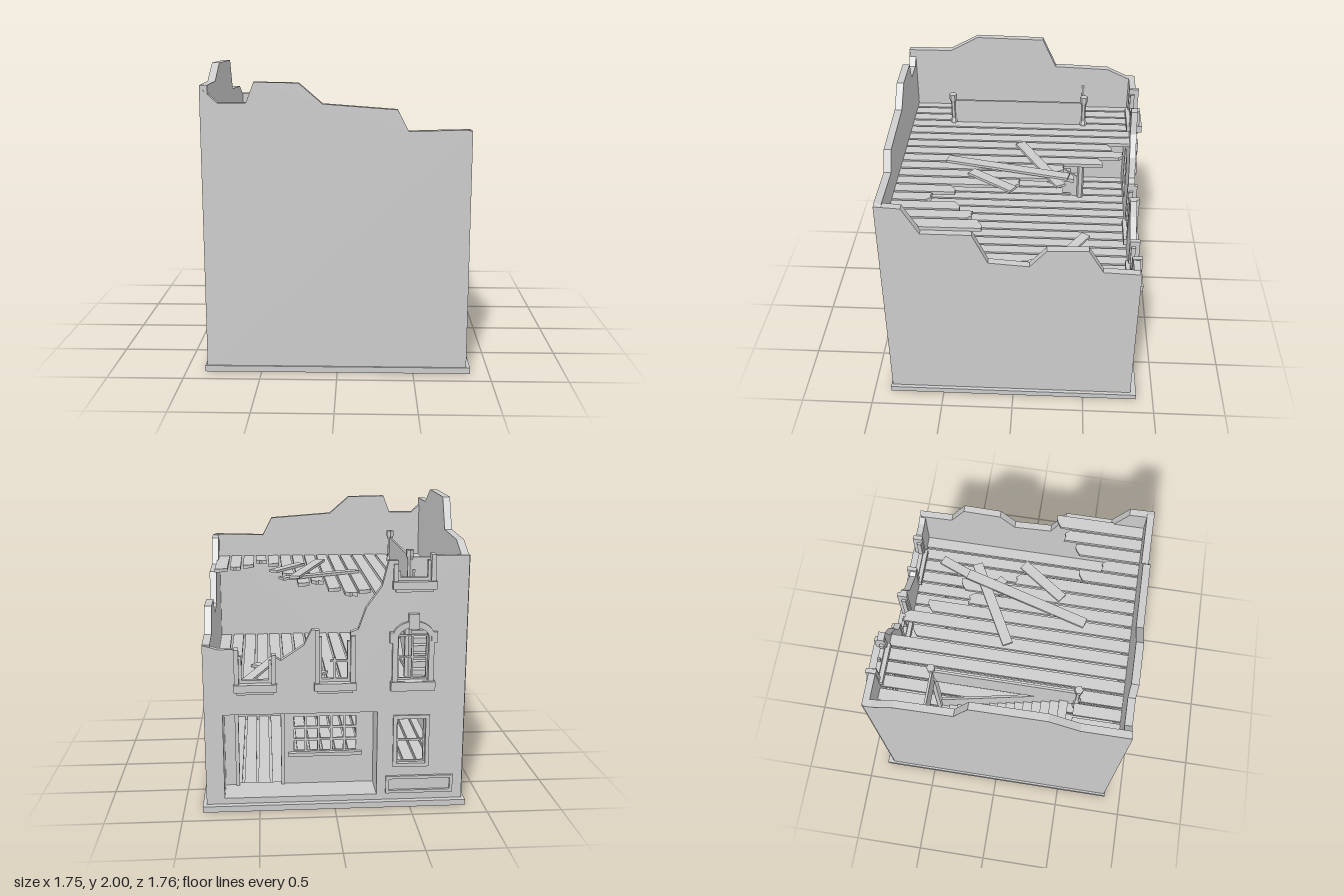
import * as THREE from 'three';

const mat = new THREE.MeshStandardMaterial({ color: 0xcccccc, flatShading: true, side: THREE.DoubleSide });

function add(parent, name, geometry) {
  const mesh = new THREE.Mesh(geometry, mat);
  mesh.name = name;
  parent.add(mesh);
  return mesh;
}

// Box given by its minimum and maximum along each axis
function box(parent, name, x0, x1, y0, y1, z0, z1) {
  const mesh = add(parent, name, new THREE.BoxGeometry(x1 - x0, y1 - y0, z1 - z0));
  mesh.position.set((x0 + x1) / 2, (y0 + y1) / 2, (z0 + z1) / 2);
  return mesh;
}

const outline = (pts, Type = THREE.Shape) => new Type(pts.map(p => new THREE.Vector2(...p)));
const rect = (x0, x1, y0, y1) => outline([[x0, y0], [x1, y0], [x1, y1], [x0, y1]], THREE.Path);

function slab(parent, name, shape, depth, z) {
  const mesh = add(parent, name, new THREE.ExtrudeGeometry(shape, { depth, bevelEnabled: false, curveSegments: 8 }));
  mesh.position.z = z;
  return mesh;
}

// Slab drawn in (z, y) and extruded towards -x from x
function sideSlab(parent, name, pts, depth, x) {
  const mesh = slab(parent, name, outline(pts), depth, 0);
  mesh.rotation.y = -Math.PI / 2;
  mesh.position.x = x;
  return mesh;
}

function arch(Type, cx, half, y0, spring, rise) {
  const s = new Type();
  s.moveTo(cx - half, y0);
  s.lineTo(cx + half, y0);
  s.lineTo(cx + half, spring);
  s.absellipse(cx, spring, half, rise, 0, Math.PI, false);
  s.closePath();
  return s;
}

// Grid of glazing bars inside a rectangular frame
function glazing(parent, name, x0, x1, y0, y1, z, cols, rows, t = 0.012) {
  const g = new THREE.Group();
  g.name = name;
  parent.add(g);
  for (let i = 0; i <= cols; i++) {
    const x = x0 + (x1 - x0) * i / cols;
    box(g, 'glazingBar', x - t / 2, x + t / 2, y0, y1, z, z + 0.018);
  }
  for (let j = 0; j <= rows; j++) {
    const y = y0 + (y1 - y0) * j / rows;
    box(g, 'glazingBar', x0, x1, y - t / 2, y + t / 2, z, z + 0.016);
  }
}

// Sill with two broken jambs of different heights
function brokenWindow(parent, x0, x1, y, topLow, topHigh) {
  box(parent, 'windowSill', x0 - 0.035, x1 + 0.035, y - 0.05, y, -0.88, -0.77);
  box(parent, 'sillApron', x0 - 0.015, x1 + 0.015, y - 0.07, y - 0.05, -0.86, -0.82);
  box(parent, 'windowJamb', x0 - 0.03, x0, y, topLow, -0.86, -0.79);
  box(parent, 'windowJamb', x1, x1 + 0.03, y, topHigh, -0.86, -0.79);
  box(parent, 'innerFrame', x0, x0 + 0.018, y, topLow - 0.04, -0.83, -0.80);
  box(parent, 'innerFrame', x1 - 0.018, x1, y, topHigh - 0.05, -0.83, -0.80);
  box(parent, 'innerFrame', x0, x1, y, y + 0.02, -0.83, -0.80);
}

// Plank edges follow a regular pitch across the room
const PITCH = 0.097, GAP = 0.016;
const plankEdges = i => [
  i === 0 ? -0.81 : -0.745 + PITCH * (i - 1) + GAP / 2,
  i === 16 ? 0.81 : -0.745 + PITCH * i - GAP / 2];

// Floor plank with a splintered back end when it is broken
function plank(parent, i, y, zBack, zFront, broken) {
  const [a, b] = plankEdges(i), w = b - a, n = broken ? 0.035 : 0;
  const pts = [[a, -zFront], [b, -zFront], [b, -zBack - n * (i % 2)], [a + w * 0.65, -zBack],
    [a + w * 0.4, -zBack - n * 0.3], [a, -zBack - n * ((i + 1) % 2)]];
  const geo = new THREE.ExtrudeGeometry(outline(pts), { depth: 0.025, bevelEnabled: false });
  geo.rotateX(-Math.PI / 2);
  add(parent, 'floorPlank', geo).position.y = y;
}

function loosePlank(parent, x0, z0, x1, z1, y0, y1) {
  const from = new THREE.Vector3(x0, y0, z0), to = new THREE.Vector3(x1, y1, z1);
  const mesh = add(parent, 'fallenPlank', new THREE.BoxGeometry(0.07, 0.018, from.distanceTo(to)));
  mesh.position.copy(from).lerp(to, 0.5);
  mesh.lookAt(to);
}

export function createModel() {
  const model = new THREE.Group();
  model.name = 'ruinedBuilding';
  const group = name => {
    const g = new THREE.Group();
    g.name = name;
    model.add(g);
    return g;
  };

  // Base and three plain broken walls
  box(model, 'base', -0.875, 0.875, 0, 0.04, -0.88, 0.88);
  const walls = group('walls');
  slab(walls, 'frontWall', outline([[-0.86, 0.04], [0.85, 0.04], [0.85, 1.605], [0.82, 1.615], [0.45, 1.605],
    [0.38, 1.74], [-0.09, 1.775], [-0.24, 1.905], [-0.52, 1.91], [-0.57, 1.78], [-0.75, 1.78], [-0.86, 1.88]]), 0.05, 0.82);
  sideSlab(walls, 'leftWall', [[-0.83, 0.04], [0.865, 0.04], [0.865, 1.61], [0.7, 1.6], [0.59, 1.41], [0.26, 1.41],
    [0.16, 1.19], [-0.11, 1.17], [-0.22, 1.3], [-0.49, 1.31], [-0.59, 1.14], [-0.83, 1.13]], 0.05, 0.85);
  sideSlab(walls, 'rightWall', [[-0.83, 0.04], [0.865, 0.04], [0.865, 1.89], [0.55, 1.89], [0.35, 2], [-0.14, 1.99],
    [-0.24, 1.775], [-0.63, 1.76], [-0.78, 1.69], [-0.83, 1.69]], 0.05, -0.81);

  // Shop facade: broken windows are notches in its top edge
  const facade = group('facade');
  const face = outline([[-0.855, 0.04], [0.85, 0.04], [0.85, 1.13], [0.75, 1.1], [0.66, 1.1], [0.62, 1.06], [0.62, 0.86],
    [0.41, 0.86], [0.41, 1.06], [0.35, 1.02], [0.2, 1.12], [0.15, 1.22], [0.1, 1.22], [0.1, 0.87], [-0.1, 0.87],
    [-0.1, 1.2], [-0.15, 1.22], [-0.2, 1.36], [-0.3, 1.5], [-0.34, 1.66], [-0.4, 1.66], [-0.4, 1.53],
    [-0.61, 1.53], [-0.61, 1.69], [-0.855, 1.69]]);
  face.holes.push(rect(-0.28, 0.73, 0.08, 0.66), rect(-0.6, -0.41, 0.3, 0.61), arch(THREE.Path, -0.505, 0.1, 0.87, 1.16, 0.07));
  slab(facade, 'facadeWall', face, 0.045, -0.84);

  brokenWindow(facade, 0.41, 0.62, 0.87, 1.06, 1.1);
  brokenWindow(facade, -0.1, 0.1, 0.87, 1.18, 1.22);
  brokenWindow(facade, -0.61, -0.4, 1.53, 1.7, 1.64);
  box(facade, 'brokenMullion', -0.008, 0.008, 0.87, 1.03, -0.825, -0.805);
  box(facade, 'brokenMullion', -0.1, 0.03, 1.0, 1.014, -0.825, -0.805);
  box(facade, 'brokenMullion', -0.51, -0.495, 1.53, 1.6, -0.825, -0.805);

  // Arched window with surround, keystone and sill
  const surround = arch(THREE.Shape, -0.505, 0.135, 0.87, 1.17, 0.1);
  surround.holes.push(arch(THREE.Path, -0.505, 0.1, 0.871, 1.16, 0.07));
  slab(facade, 'archSurround', surround, 0.03, -0.865);
  box(facade, 'keystone', -0.54, -0.47, 1.22, 1.32, -0.875, -0.83);
  for (const x of [-0.64, -0.37]) box(facade, 'archImpost', x - 0.02, x + 0.02, 1.13, 1.2, -0.87, -0.83);
  box(facade, 'windowSill', -0.65, -0.36, 0.81, 0.87, -0.88, -0.8);
  glazing(facade, 'archedWindow', -0.6, -0.41, 0.88, 1.17, -0.825, 2, 2);

  // Small ground window and panel
  const trim = outline([[-0.625, 0.275], [-0.385, 0.275], [-0.385, 0.635], [-0.625, 0.635]]);
  trim.holes.push(rect(-0.6, -0.41, 0.3, 0.61));
  slab(facade, 'groundWindowTrim', trim, 0.02, -0.855);
  glazing(facade, 'groundWindow', -0.595, -0.415, 0.305, 0.605, -0.825, 1, 2);
  const frame = outline([[-0.79, 0.09], [-0.34, 0.09], [-0.34, 0.21], [-0.79, 0.21]]);
  frame.holes.push(rect(-0.77, -0.36, 0.11, 0.19));
  slab(facade, 'panelFrame', frame, 0.02, -0.858);

  // Recessed shopfront
  const shop = group('shopfront');
  box(shop, 'shopStep', -0.3, 0.75, 0.045, 0.08, -0.83, -0.6);
  box(shop, 'shopCeiling', -0.3, 0.75, 0.66, 0.69, -0.8, -0.59);
  for (const x of [-0.3, 0.73]) box(shop, 'shopReveal', x, x + 0.02, 0.06, 0.68, -0.8, -0.59);
  const shopWall = outline([[-0.28, 0.06], [0.73, 0.06], [0.73, 0.67], [-0.28, 0.67]]);
  shopWall.holes.push(rect(0.34, 0.64, 0.08, 0.6), rect(-0.17, 0.27, 0.31, 0.57));
  slab(shop, 'shopWall', shopWall, 0.03, -0.62);
  glazing(shop, 'shopWindow', -0.17, 0.27, 0.31, 0.57, -0.62, 5, 3, 0.016);
  box(shop, 'shopWindowSill', -0.2, 0.3, 0.285, 0.31, -0.65, -0.6);
  for (const x of [0.325, 0.635]) box(shop, 'doorJamb', x, x + 0.025, 0.08, 0.61, -0.635, -0.58);
  box(shop, 'doorLintel', 0.325, 0.66, 0.59, 0.62, -0.635, -0.58);

  // Plank floors: the top one is broken away and leaves a stairwell
  const floors = group('floors');
  const topEnds = [-0.8, -0.8, -0.8, -0.8, -0.8, -0.8, -0.66, -0.74, -0.59, -0.32, -0.39, -0.02, 0.41, 0.56, 0.36, 0.27, 0.2];
  topEnds.forEach((end, i) => {
    plank(floors, i, 0.045, i > 4 && i < 16 ? -0.59 : -0.8, 0.82, false);
    plank(floors, i, 0.76, -0.8, 0.82, false);
    if (i < 3) {
      plank(floors, i, 1.413, -0.8, -0.455, false);
      plank(floors, i, 1.413, 0.5, 0.82, false);
    } else plank(floors, i, 1.413, end, 0.82, i > 5);
  });

  // Stairs down to the middle floor
  const stairs = group('stairs');
  const STEPS = 15, run = 0.9 / STEPS, rise = 0.63 / STEPS;
  for (let i = 0; i < STEPS; i++) {
    const z = 0.46 - i * run, y = 1.41 - i * rise;
    box(stairs, 'stairTread', -0.81, -0.54, y - rise - 0.012, y, z - run, z);
  }
  sideSlab(stairs, 'stairPanel', [[-0.45, 0.77], [0.5, 1.38], [0.5, 1.41], [0.235, 1.41], [-0.45, 0.955]], 0.016, -0.53);
  box(stairs, 'landingRail', -0.546, -0.53, 1.41, 1.62, -0.455, 0.515);
  box(stairs, 'landingRail', -0.81, -0.535, 1.41, 1.62, -0.46, -0.445);
  const postProfile = bottom => [[0, bottom], [0.027, bottom], [0.027, 1.35], [0.018, 1.38], [0.027, 1.41], [0.027, 1.455],
    [0.017, 1.475], [0.017, 1.6], [0.028, 1.63], [0.028, 1.67], [0, 1.67]].map(p => new THREE.Vector2(...p));
  for (const [z, bottom] of [[-0.455, 0.78], [0.515, 1.3]])
    add(stairs, 'newelPost', new THREE.LatheGeometry(postProfile(bottom), 6)).position.set(-0.535, 0, z);

  // Fallen planks on the top and middle floors
  const debris = group('debris');
  loosePlank(debris, -0.22, 0, 0.33, -0.3, 1.448, 1.455);
  loosePlank(debris, 0.01, 0.5, 0.24, -0.35, 1.447, 1.472);
  loosePlank(debris, 0.38, 0.02, 0.17, 0.32, 1.449, 1.449);
  loosePlank(debris, 0.04, -0.5, 0.53, -0.15, 0.83, 0.8);
  loosePlank(debris, 0.62, -0.65, 0.38, -0.08, 0.795, 0.825);
  return model;
}
